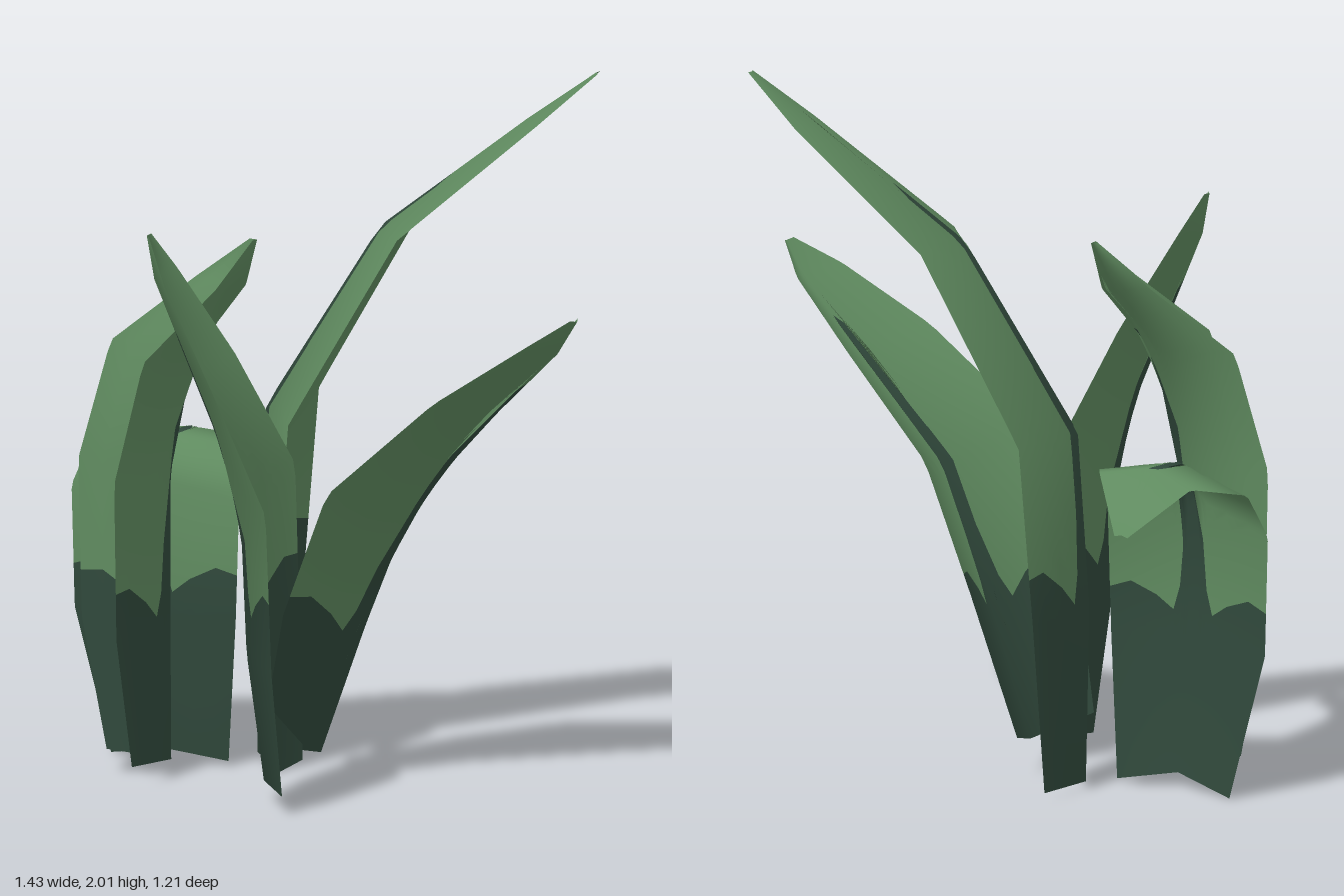
import * as THREE from 'three';

const leafGreen = new THREE.MeshStandardMaterial({ name: 'leafGreen', color: 0x5f8a5f, side: THREE.DoubleSide });
const deepGreen = new THREE.MeshStandardMaterial({ name: 'deepGreen', color: 0x30483b, side: THREE.DoubleSide });

// Half of the colour border across a blade: [distance from midrib, height along the stripe]
const border = [[1, 0.02], [0.75, 0.03], [0.45, -0.02], [0.25, -0.07], [0.17, 0], [0.12, 0.15],
  [0.1, 0.5], [0.07, 0.95], [0, 1]];
const columns = [...border.map(([u, h]) => [-u, h]), ...border.slice(0, -1).reverse()];

// Grid surface from functions of column i and row j
function grid(cols, rows, position, normal) {
  const pos = [], nor = [], index = [];
  for (let j = 0; j < rows; j++) {
    for (let i = 0; i < cols; i++) {
      pos.push(...position(i, j));
      if (normal) nor.push(...normal(i, j));
      if (i && j) {
        const d = j * cols + i, c = d - 1, b = d - cols, a = b - 1;
        index.push(a, b, d, a, d, c);
      }
    }
  }
  const geo = new THREE.BufferGeometry();
  geo.setAttribute('position', new THREE.Float32BufferAttribute(pos, 3));
  geo.setIndex(index);
  if (normal) geo.setAttribute('normal', new THREE.Float32BufferAttribute(nor, 3));
  else geo.computeVertexNormals();
  return geo;
}

// Folded blade: two wings spread from a midrib path and narrow toward the tip.
// shoulder = width where it starts to narrow; dark, stripe = rows where the dark base and midrib stripe end
function makeBlade(name, { midrib, wings, shoulder, dark, stripe }) {
  const widths = [0.7, 0.96, 1, shoulder, shoulder - 0.35, 0.08];
  const last = midrib.length - 1;
  const coarse = grid(3, midrib.length, (i, j) => {
    const point = new THREE.Vector3(...midrib[j]);
    if (i !== 1) point.addScaledVector(new THREE.Vector3(...wings[i / 2]), widths[j]);
    return point;
  });

  // Bilinear sample of an attribute at u in -1..1 and row t
  const sample = (attribute, u, t) => {
    const j = Math.min(Math.floor(t), last - 1), i = u < 0 ? 0 : 1;
    const at = (a, b) => new THREE.Vector3().fromBufferAttribute(attribute, b * 3 + a);
    const f = u + 1 - i;
    return at(i, j).lerp(at(i + 1, j), f).lerp(at(i, j + 1).lerp(at(i + 1, j + 1), f), t - j);
  };

  // Strip of the blade between two row limits given per column
  const part = (label, material, start, end) => {
    const steps = 30;
    const row = (i, j) => THREE.MathUtils.lerp(start(i), end(i), j / steps);
    const { position, normal } = coarse.attributes;
    const geo = grid(columns.length, steps + 1,
      (i, j) => sample(position, columns[i][0], row(i, j)),
      (i, j) => sample(normal, columns[i][0], row(i, j)).normalize());
    const mesh = new THREE.Mesh(geo, material);
    mesh.name = label;
    return mesh;
  };

  const edge = (i) => dark + columns[i][1] * (stripe - dark);
  const blade = new THREE.Group();
  blade.name = name;
  blade.add(
    part('baseAndMidrib', deepGreen, () => 0, edge),
    part('upperLeaf', leafGreen, edge, () => last));
  return blade;
}

export function createModel() {
  const plant = new THREE.Group();
  plant.name = 'leafyPlant';
  plant.add(
    makeBlade('tallBlade', {
      midrib: [[-0.19, 0, -0.32], [-0.2, 0.5, -0.32], [-0.17, 1, -0.3], [0.13, 1.53, -0.17], [0.52, 1.85, -0.02], [0.7, 1.99, 0.06]],
      wings: [[0, 0, 0.28], [0.2, 0, -0.21]], shoulder: 0.76, dark: 1.2, stripe: 3.5,
    }),
    makeBlade('frontBlade', {
      midrib: [[-0.08, 0.06, 0], [0.02, 0.45, 0.13], [0.13, 0.81, 0.24], [0.34, 1.1, 0.4], [0.48, 1.29, 0.54], [0.525, 1.39, 0.59]],
      wings: [[-0.28, 0.07, 0.14], [0.1, 0.07, -0.31]], shoulder: 0.76, dark: 1.1, stripe: 3.5,
    }),
    makeBlade('leftBlade', {
      midrib: [[-0.29, 0.03, 0.2], [-0.34, 0.4, 0.2], [-0.36, 0.86, 0.2], [-0.49, 1.2, 0.17], [-0.59, 1.47, 0.13], [-0.605, 1.59, 0.1]],
      wings: [[0, 0, 0.33], [0.21, 0.03, -0.22]], shoulder: 0.76, dark: 1.4, stripe: 3.5,
    }),
    makeBlade('farLeftBlade', {
      midrib: [[-0.48, 0.03, -0.14], [-0.48, 0.4, -0.15], [-0.48, 0.85, -0.15], [-0.41, 1.19, -0.16], [-0.26, 1.38, -0.16], [-0.23, 1.51, -0.15]],
      wings: [[-0.21, 0.02, 0.21], [-0.23, 0.02, -0.16]], shoulder: 0.9, dark: 1.25, stripe: 3.4,
    }),
    makeBlade('backBlade', {
      midrib: [[-0.45, 0.02, -0.33], [-0.5, 0.45, -0.31], [-0.5, 0.8, -0.31], [-0.45, 0.92, -0.36], [-0.35, 0.92, -0.45], [-0.25, 0.76, -0.59]],
      wings: [[0.23, -0.04, 0.11], [-0.17, -0.06, -0.26]], shoulder: 0.92, dark: 1.3, stripe: 4,
    }),
  );
  return plant;
}
